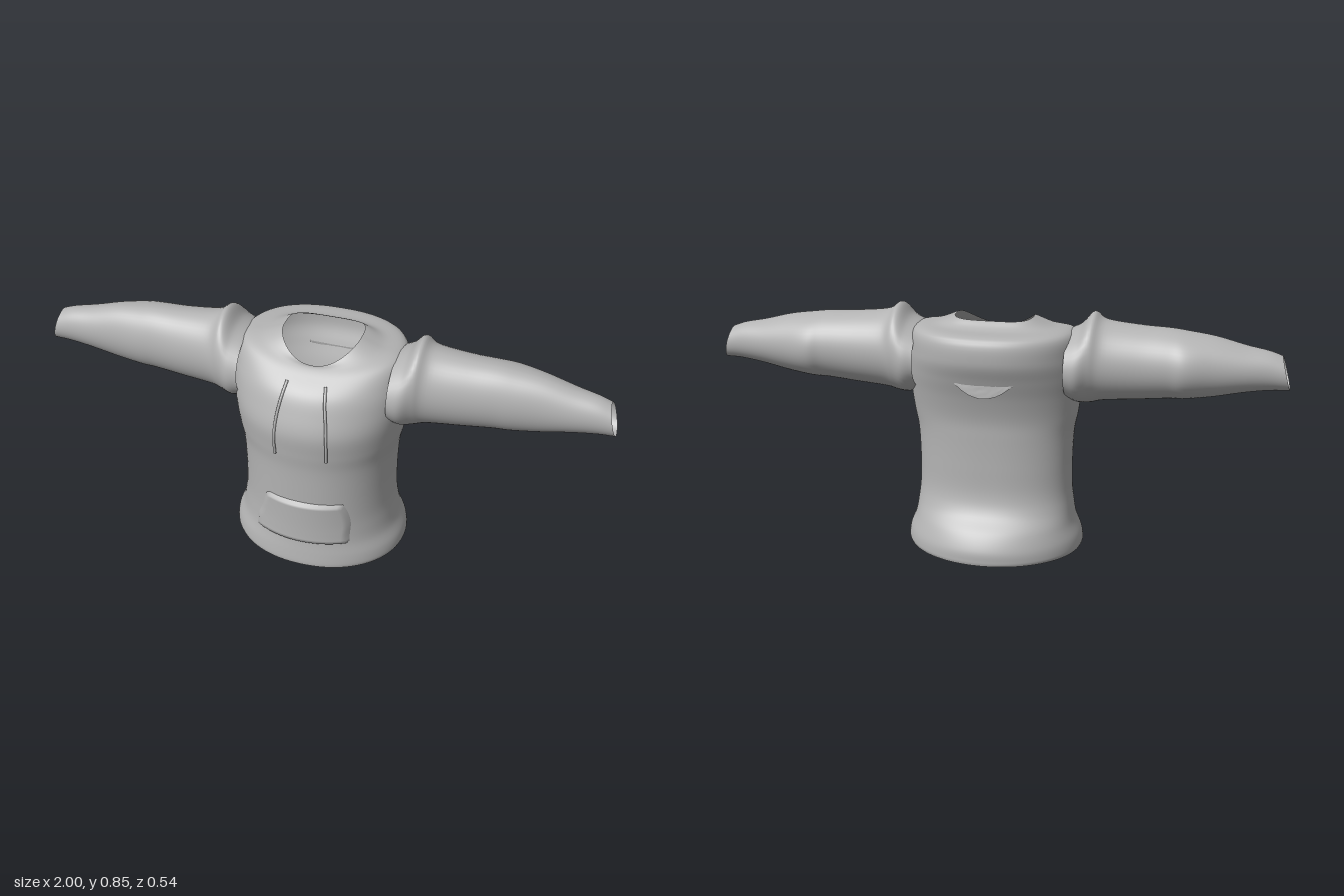
import * as THREE from 'three';

const cloth = new THREE.MeshStandardMaterial({ color: 0xb4b4b4, side: THREE.DoubleSide });
cloth.name = 'greyCloth';

// Smoothly interpolates a short table of cross-sections, t in 0..1
function sections(table) {
  const times = table.map((_, i) => i / (table.length - 1));
  const spline = new THREE.CubicInterpolant(times, table.flat(), table[0].length);
  return t => Array.from(spline.evaluate(t));
}

// Smooth surface from a rule point(u, v); quads can be left out with skip(centre)
function surface(name, rows, cols, closed, point, skip = () => false) {
  const pts = [], index = [], n = closed ? cols : cols + 1;
  for (let r = 0; r <= rows; r++)
    for (let c = 0; c < n; c++) pts.push(point(c / cols, r / rows));
  for (let r = 0; r < rows; r++) {
    for (let c = 0; c < cols; c++) {
      const a = r * n + c, b = r * n + (c + 1) % n, d = a + n, e = b + n;
      if (skip(pts[a].clone().add(pts[e]).multiplyScalar(0.5))) continue;
      index.push(a, d, b, b, d, e);
    }
  }
  const geo = new THREE.BufferGeometry().setFromPoints(pts);
  geo.setIndex(index);
  geo.computeVertexNormals();
  const mesh = new THREE.Mesh(geo, cloth);
  mesh.name = name;
  return mesh;
}

// Torso: half width, front depth, back depth, y at front, side, back, back squareness
const torso = sections([
  [0.310, 0.262, 0.270, 0.000, 0.000, 0.000, 1.0],
  [0.315, 0.262, 0.272, 0.015, 0.015, 0.015, 1.0],
  [0.310, 0.258, 0.268, 0.050, 0.050, 0.050, 1.0],
  [0.290, 0.252, 0.240, 0.100, 0.100, 0.100, 0.95],
  [0.280, 0.250, 0.190, 0.155, 0.155, 0.155, 0.9],
  [0.273, 0.250, 0.168, 0.220, 0.220, 0.220, 0.9],
  [0.272, 0.252, 0.165, 0.320, 0.320, 0.320, 0.9],
  [0.277, 0.255, 0.166, 0.420, 0.420, 0.420, 0.9],
  [0.290, 0.262, 0.170, 0.490, 0.490, 0.490, 0.9],
  [0.300, 0.266, 0.190, 0.570, 0.570, 0.570, 0.9],
  [0.305, 0.245, 0.215, 0.640, 0.640, 0.640, 0.9],
  [0.300, 0.215, 0.238, 0.700, 0.710, 0.710, 0.9],
  [0.280, 0.165, 0.225, 0.745, 0.785, 0.785, 0.85],
  [0.200, 0.135, 0.140, 0.765, 0.805, 0.800, 0.75],
  [0.135, 0.120, 0.100, 0.765, 0.830, 0.825, 0.5],
]);

function torsoPoint(angle, t) {
  const [rx, zf, zb, yf, ys, yb, eb] = torso(t);
  const c = Math.cos(angle), s = Math.sin(angle), e = s > 0 ? 0.95 : eb;
  const bend = v => Math.sign(v) * Math.abs(v) ** e;
  return new THREE.Vector3(
    rx * bend(c),
    ys + ((s > 0 ? yf : yb) - ys) * s * s,
    (s > 0 ? zf : zb) * bend(s));
}

// Depth of the torso wall at a given x and y (side +1 front, -1 back)
function wallZ(x, y, side = 1) {
  let best = 0, gap = 9;
  for (let i = 0; i <= 260; i++) {
    const t = i / 260 * 0.93;
    const p = torsoPoint(side * Math.acos(THREE.MathUtils.clamp(x / torso(t)[0], -1, 1)), t);
    if (Math.abs(p.y - y) < gap) { gap = Math.abs(p.y - y); best = p.z; }
  }
  return best;
}

// Sleeve: x, bottom y, top y, front depth, back depth, cuff slant
const sleeve = sections([
  [0.260, 0.555, 0.790, 0.150, 0.160, 0],
  [0.300, 0.540, 0.812, 0.150, 0.165, 0],
  [0.340, 0.540, 0.853, 0.130, 0.150, 0],
  [0.385, 0.550, 0.828, 0.110, 0.135, 0],
  [0.500, 0.560, 0.815, 0.095, 0.125, 0],
  [0.600, 0.570, 0.810, 0.085, 0.125, 0],
  [0.660, 0.573, 0.803, 0.080, 0.130, 0],
  [0.750, 0.585, 0.790, 0.070, 0.105, 0],
  [0.850, 0.605, 0.765, 0.062, 0.080, 0],
  [0.930, 0.617, 0.750, 0.055, 0.060, 0.005],
  [0.985, 0.620, 0.735, 0.050, 0.050, 0.015],
]);

function sleevePoint(side, u, t) {
  const [x, lo, hi, zf, zb, slant] = sleeve(t);
  const a = u * Math.PI * 2, c = Math.cos(a), s = -side * Math.sin(a);
  return new THREE.Vector3(side * (x - slant * c), (lo + hi) / 2 + (hi - lo) / 2 * c, s * (s > 0 ? zf : zb));
}

export function createModel() {
  const model = new THREE.Group();
  model.name = 'hoodedSweater';

  // Body, open at hem and neck, with armholes left out
  model.add(surface('torso', 90, 96, true, (u, v) => torsoPoint(u * Math.PI * 2, v),
    p => Math.abs(p.x) > 0.22 && Math.hypot(p.y - 0.68, p.z + 0.005) < 0.1));

  // Sleeves and drawstrings
  for (const side of [1, -1]) {
    const label = side > 0 ? 'left' : 'right';
    model.add(surface(label + 'Sleeve', 60, 48, true, (u, v) => sleevePoint(side, u, v)));

    const path = [[0.066, 0.735], [0.075, 0.69], [0.086, 0.62], [0.091, 0.55], [0.09, 0.48]]
      .map(([x, y]) => new THREE.Vector3(side * x, y, wallZ(x, y) + 0.006));
    const cord = new THREE.Mesh(
      new THREE.TubeGeometry(new THREE.CatmullRomCurve3(path), 24, 0.005, 8), cloth);
    cord.name = label + 'Drawstring';
    model.add(cord);
  }

  // Front pocket: y, right edge x, left edge x
  const pocket = sections([
    [0.100, -0.185, 0.168], [0.145, -0.183, 0.168], [0.190, -0.165, 0.170],
    [0.240, -0.150, 0.160], [0.282, -0.135, 0.142],
  ]);
  model.add(surface('frontPocket', 16, 24, false, (u, v) => {
    const [y, x0, x1] = pocket(v);
    const x = x1 + (x0 - x1) * u;
    const rim = u === 0 || u === 1 || v === 0 || v === 1;
    return new THREE.Vector3(x, y, wallZ(x, y) + (rim ? -0.002 : 0.014));
  }));

  // Sagging crescent lip under the folded hood at the back
  model.add(surface('hoodFold', 6, 20, false, (u, v) => {
    const x = (u - 0.5) * 0.23, drop = 1 - (x / 0.115) ** 2;
    const y = 0.645 - 0.06 * drop + 0.05 * drop * v;
    return new THREE.Vector3(x, y, wallZ(x, y, -1) + 0.003 - 0.024 * drop * (1 - v));
  }));

  return model;
}
